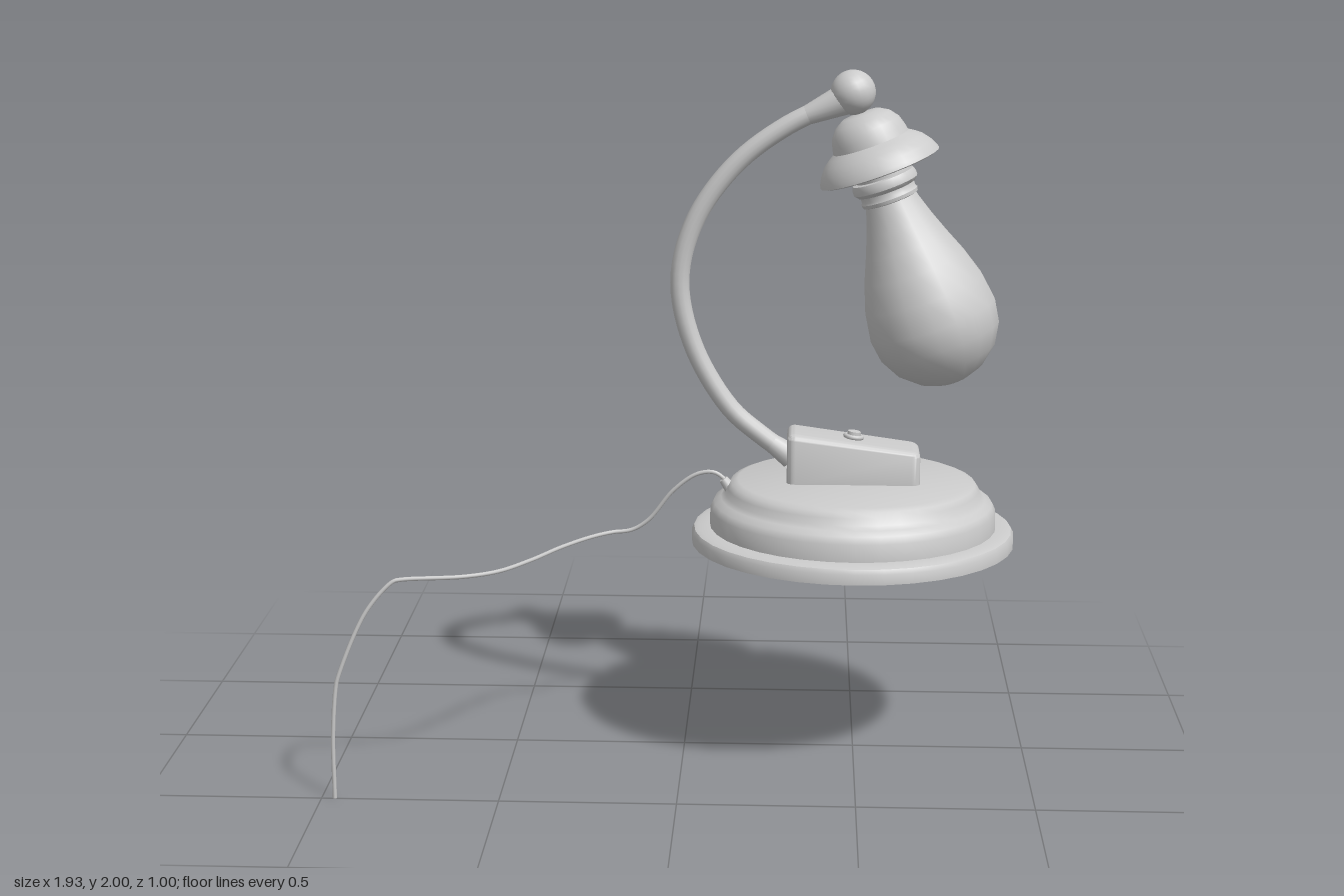
import * as THREE from 'three';
import { toCreasedNormals } from 'three/addons/utils/BufferGeometryUtils.js';
import { RoundedBoxGeometry } from 'three/addons/geometries/RoundedBoxGeometry.js';

const mat = new THREE.MeshStandardMaterial({ color: 0xcccccc, side: THREE.DoubleSide });
const CX = 0.49; // base centre
const CZ = -0.03; // plane of the arm and lamp head

function add(parent, name, geometry, x = 0, y = 0, z = 0) {
  const mesh = new THREE.Mesh(geometry, mat);
  mesh.name = name;
  mesh.position.set(x, y, z);
  parent.add(mesh);
  return mesh;
}

// Profile of [radius, height] pairs, listed bottom to top
function lathe(profile, sides, crease = 0.7) {
  const g = new THREE.LatheGeometry(profile.map(([r, y]) => new THREE.Vector2(r, y)), sides);
  return crease ? toCreasedNormals(g, crease) : g;
}

// Same, but measured downwards along the lamp head axis
const hanging = (profile, sides, crease) =>
  lathe(profile.map(([r, s]) => [r, -s]).reverse(), sides, crease);

// Cone that blends the arm into the part it meets
function collar(parent, name, from, to, r1, r2) {
  const d = to.clone().sub(from);
  const mesh = add(parent, name, new THREE.CylinderGeometry(r2, r1, d.length(), 16, 1, true));
  mesh.position.copy(from).addScaledVector(d, 0.5);
  mesh.quaternion.setFromUnitVectors(new THREE.Vector3(0, 1, 0), d.normalize());
}

export function createModel() {
  const lamp = new THREE.Group();
  lamp.name = 'deskLamp';

  // Hollow stepped base, open underneath
  add(lamp, 'base', lathe([
    [0.47, 0.625], [0.47, 0.655], [0.463, 0.668], [0.45, 0.673], [0.417, 0.675],
    [0.415, 0.725], [0.405, 0.745], [0.385, 0.757], [0.372, 0.768], [0.366, 0.787],
    [0.355, 0.802], [0.335, 0.81], [0, 0.812],
  ], 36), CX, 0, CZ);

  // Switch housing: rounded box with flattened bottom and sloping top
  const box = new RoundedBoxGeometry(0.385, 0.3, 0.165, 4, 0.025);
  const p = box.attributes.position;
  for (let i = 0; i < p.count; i++) {
    const slope = 0.81 - (p.getX(i) / 0.385) * 0.36;
    p.setY(i, Math.max(0, p.getY(i)) * slope);
  }
  add(lamp, 'switchHousing', toCreasedNormals(box, 0.7), CX, 0.811, CZ);

  const button = new THREE.Group();
  button.name = 'switchButton';
  button.position.set(CX, 0.932, CZ);
  button.rotation.z = -0.14;
  add(button, 'buttonRing', new THREE.TorusGeometry(0.024, 0.007, 8, 20).rotateX(Math.PI / 2), 0, 0.006);
  add(button, 'buttonCap', new THREE.CylinderGeometry(0.019, 0.021, 0.03, 16), 0, 0.006);
  lamp.add(button);

  // Curved arm
  const armPoints = [
    [0.31, 0.875], [0.22, 0.94], [0.13, 1.02], [0.025, 1.2], [-0.015, 1.39],
    [0.025, 1.56], [0.14, 1.725], [0.29, 1.84], [0.45, 1.915],
  ].map(([x, y]) => new THREE.Vector3(x, y, CZ));
  const arm = new THREE.CatmullRomCurve3(armPoints);
  add(lamp, 'arm', new THREE.TubeGeometry(arm, 48, 0.028, 14));
  collar(lamp, 'lowerCollar', arm.getPoint(0.08), arm.getPoint(0), 0.028, 0.037);
  collar(lamp, 'upperCollar', arm.getPoint(0.92), arm.getPoint(1), 0.028, 0.045);

  // Lamp head, tilted about the ball joint
  const head = new THREE.Group();
  head.name = 'lampHead';
  head.position.set(0.475, 1.935, CZ);
  head.rotation.z = THREE.MathUtils.degToRad(20);
  lamp.add(head);
  add(head, 'ballJoint', new THREE.SphereGeometry(0.064, 20, 14));
  add(head, 'shade', hanging([
    [0, 0.062], [0.055, 0.066], [0.082, 0.082], [0.1, 0.105], [0.108, 0.13], [0.112, 0.15],
    [0.128, 0.16], [0.148, 0.175], [0.165, 0.197], [0.175, 0.217], [0.178, 0.228], [0.171, 0.231],
  ], 28), 0, 0, 0);
  add(head, 'socket', hanging([
    [0.076, 0.08], [0.076, 0.252], [0.09, 0.254], [0.095, 0.266], [0.095, 0.28],
    [0.086, 0.29], [0.08, 0.292], [0.08, 0.306], [0.084, 0.312], [0.082, 0.322], [0.07, 0.326],
  ], 24));
  add(head, 'bulb', hanging([
    [0.072, 0.31], [0.08, 0.34], [0.1, 0.4], [0.123, 0.46], [0.152, 0.53], [0.178, 0.61],
    [0.19, 0.69], [0.18, 0.755], [0.147, 0.815], [0.095, 0.86], [0.045, 0.88], [0, 0.886],
  ], 18, 0));

  // Power cord: leaves the base, runs along the table and hangs over the edge
  const cord = new THREE.CatmullRomCurve3([
    [0.14, 0.77, -0.03], [0.115, 0.805, -0.03], [0.085, 0.825, -0.03], [0.035, 0.818, -0.035],
    [-0.035, 0.765, -0.045], [-0.11, 0.67, -0.06], [-0.16, 0.638, -0.065], [-0.215, 0.632, -0.058],
    [-0.27, 0.631, -0.01], [-0.35, 0.631, 0.105], [-0.43, 0.63, 0.25], [-0.51, 0.63, 0.365],
    [-0.6, 0.63, 0.42], [-0.77, 0.63, 0.457], [-0.79, 0.625, 0.461], [-0.865, 0.54, 0.475],
    [-0.945, 0.355, 0.491], [-0.952, 0.325, 0.492], [-0.963, 0.185, 0.495], [-0.963, 0, 0.496],
  ].map((c) => new THREE.Vector3(...c)));
  add(lamp, 'cord', new THREE.TubeGeometry(cord, 160, 0.006, 8));
  const grommet = add(lamp, 'cordGrommet', new THREE.CylinderGeometry(0.013, 0.02, 0.05, 14), 0.127, 0.785, CZ);
  grommet.rotation.z = 0.65;

  return lamp;
}
